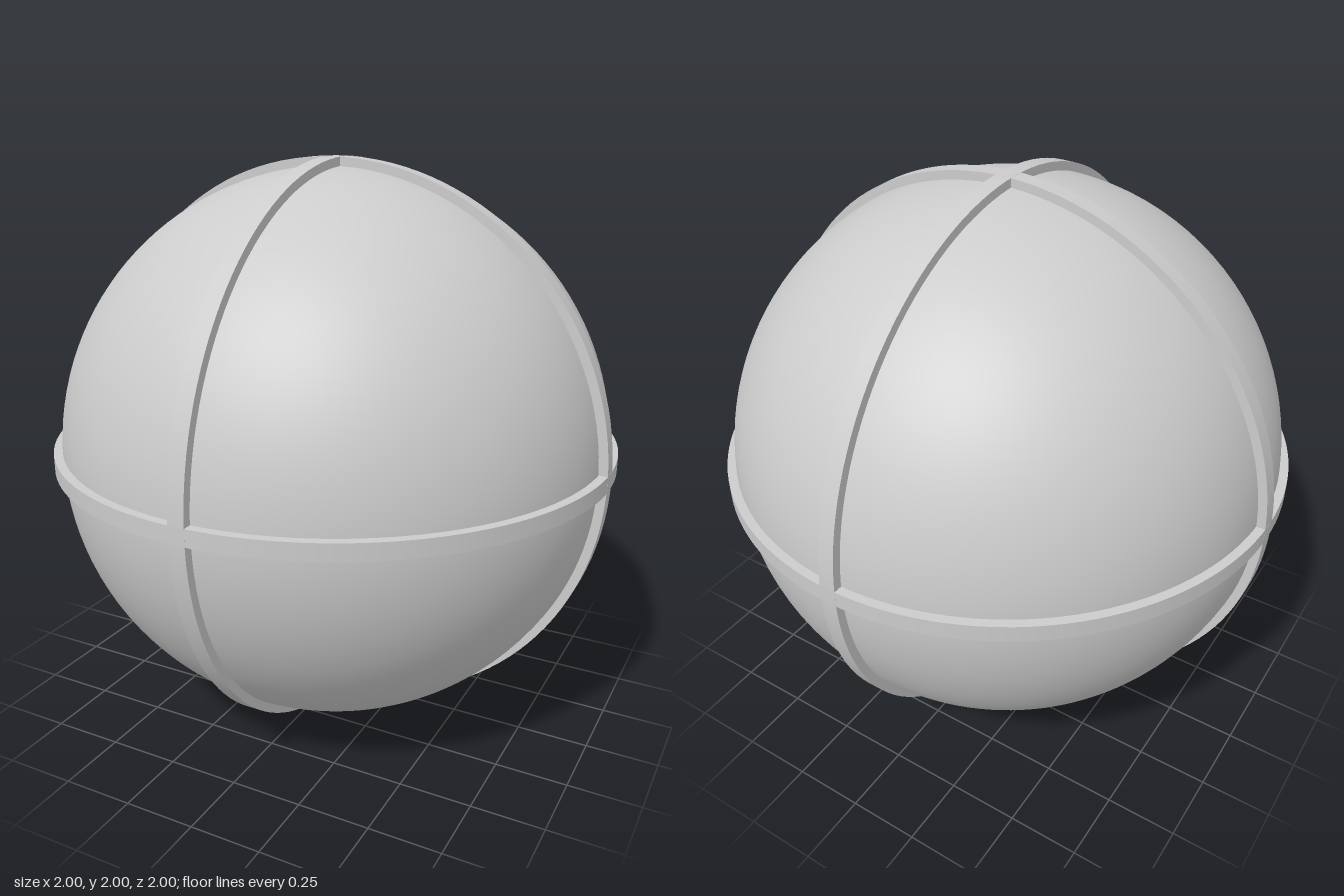
import * as THREE from 'three';
import { mergeGeometries } from 'three/addons/utils/BufferGeometryUtils.js';

const CORE_RADIUS = 0.97;
const BAND_RADIUS = 1;
const BAND_INNER = 0.94;
const BAND_HALF_WIDTH = 0.029;

// Flat hoop around y: each face is its own lathe, so the edges stay sharp
function bandGeometry() {
  const h = BAND_HALF_WIDTH;
  const profile = [
    [BAND_INNER, -h],
    [BAND_RADIUS, -h],
    [BAND_RADIUS, h],
    [BAND_INNER, h],
  ].map(([x, y]) => new THREE.Vector2(x, y));
  const faces = [];
  for (let i = 0; i < 3; i++) {
    faces.push(new THREE.LatheGeometry([profile[i], profile[i + 1]], 128));
  }
  return mergeGeometries(faces);
}

export function createModel() {
  const model = new THREE.Group();
  model.name = 'bandedBall';
  const material = new THREE.MeshStandardMaterial({ color: 0xcccccc });

  // Smooth ball
  const ball = new THREE.Mesh(new THREE.SphereGeometry(CORE_RADIUS, 128, 64), material);
  ball.name = 'ball';
  ball.position.y = 1;
  model.add(ball);

  // Three raised bands, one square to each axis
  const geometry = bandGeometry();
  const bands = [
    ['equatorBand', 0, 0],
    ['frontBand', Math.PI / 2, 0],
    ['sideBand', 0, Math.PI / 2],
  ];
  for (const [name, rx, rz] of bands) {
    const band = new THREE.Mesh(geometry, material);
    band.name = name;
    band.position.y = 1;
    band.rotation.set(rx, 0, rz);
    model.add(band);
  }
  return model;
}
